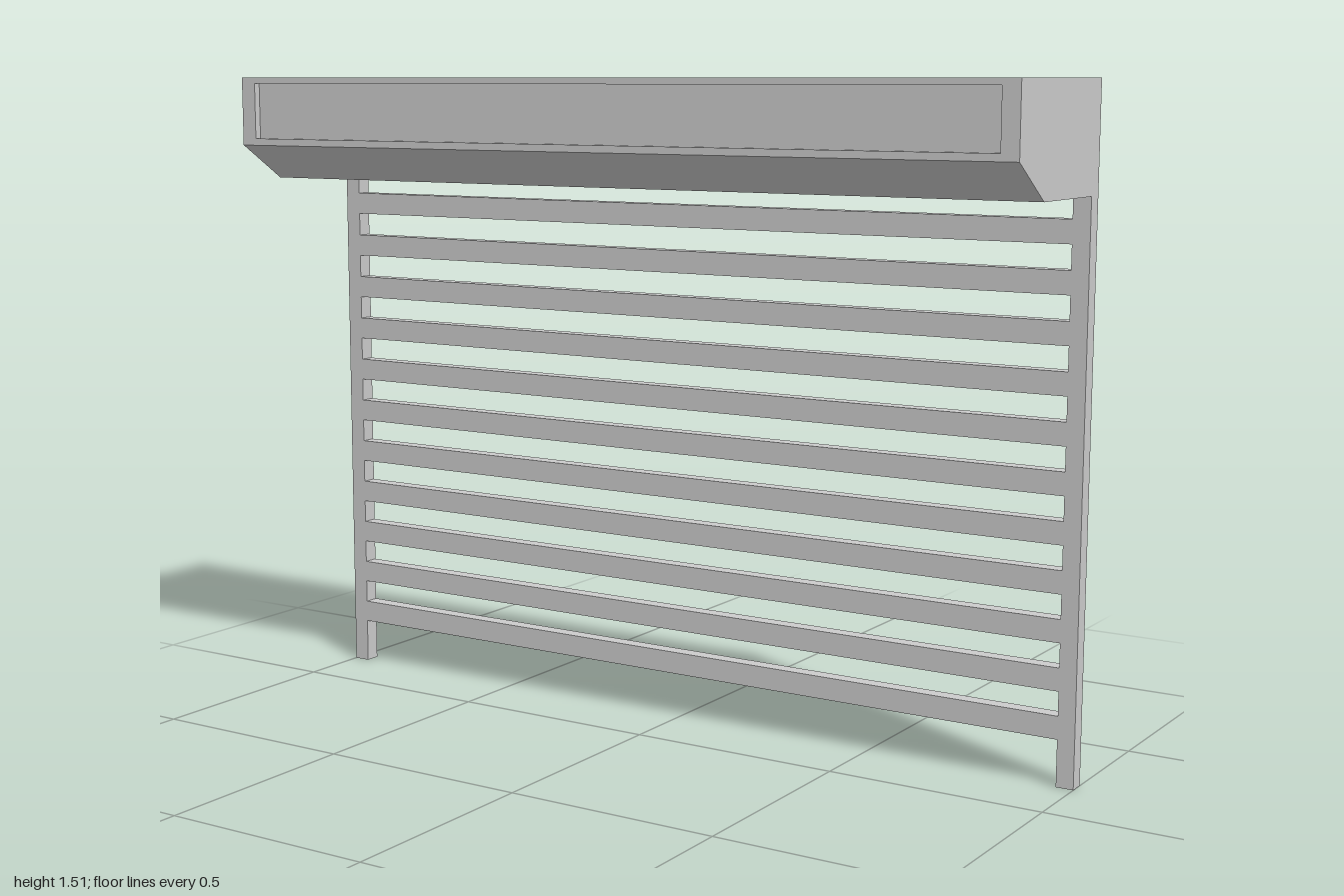
import * as THREE from 'three';

const TOP = 1.512, SOFFIT = 1.27, LIP = 1.352; // housing heights
const HALF = 0.206;                            // half depth
const INNER = 0.96;                            // inner edge of the posts
const SLATS = 11, FIRST = 0.106, PITCH = 0.1064, SLAT = 0.052;

const material = new THREE.MeshStandardMaterial({ color: 0xcccccc, flatShading: true });

function polygon(points) {
  return new THREE.Shape(points.map(([x, y]) => new THREE.Vector2(x, y)));
}

function rectHole(w, y0, y1) {
  return new THREE.Path([[-w, y0], [-w, y1], [w, y1], [w, y0]].map(([x, y]) => new THREE.Vector2(x, y)));
}

function extrude(name, shape, depth) {
  const mesh = new THREE.Mesh(new THREE.ExtrudeGeometry(shape, { depth, bevelEnabled: false }), material);
  mesh.name = name;
  return mesh;
}

export function createModel() {
  const group = new THREE.Group();
  group.name = 'rollerShutter';

  // Housing: side profile swept across the width, set back for the front rim
  const inset = 0.016, face = HALF - inset;
  const housing = extrude('housing', polygon([
    [-HALF, SOFFIT], [0.08, SOFFIT], [HALF, LIP], [face, LIP], [face, TOP], [-HALF, TOP],
  ]), 2);
  housing.geometry.rotateY(-Math.PI / 2).translate(1, 0, 0);
  group.add(housing);

  // Raised rim around the sunken front panel
  const rimShape = polygon([[-1, LIP], [1, LIP], [1, TOP], [-1, TOP]]);
  rimShape.holes.push(rectHole(INNER, 1.368, 1.498));
  const rim = extrude('frontRim', rimShape, inset);
  rim.position.z = face;
  group.add(rim);

  // Curtain: posts and slats cut from one flush plate
  const last = FIRST + (SLATS - 1) * PITCH + SLAT;
  const plate = polygon([
    [-1, 0], [-INNER, 0], [-INNER, FIRST], [INNER, FIRST], [INNER, 0], [1, 0],
    [1, SOFFIT], [INNER, SOFFIT], [INNER, last], [-INNER, last], [-INNER, SOFFIT], [-1, SOFFIT],
  ]);
  for (let i = 0; i < SLATS - 1; i++) {
    const y = FIRST + i * PITCH;
    plate.holes.push(rectHole(INNER, y + SLAT, y + PITCH));
  }
  // Slot ends stop just short of the plate's own corners, so slats stay joined to the posts
  const curtain = extrude('postsAndSlats', plate, 0.037);
  curtain.position.z = -HALF;
  group.add(curtain);

  return group;
}
